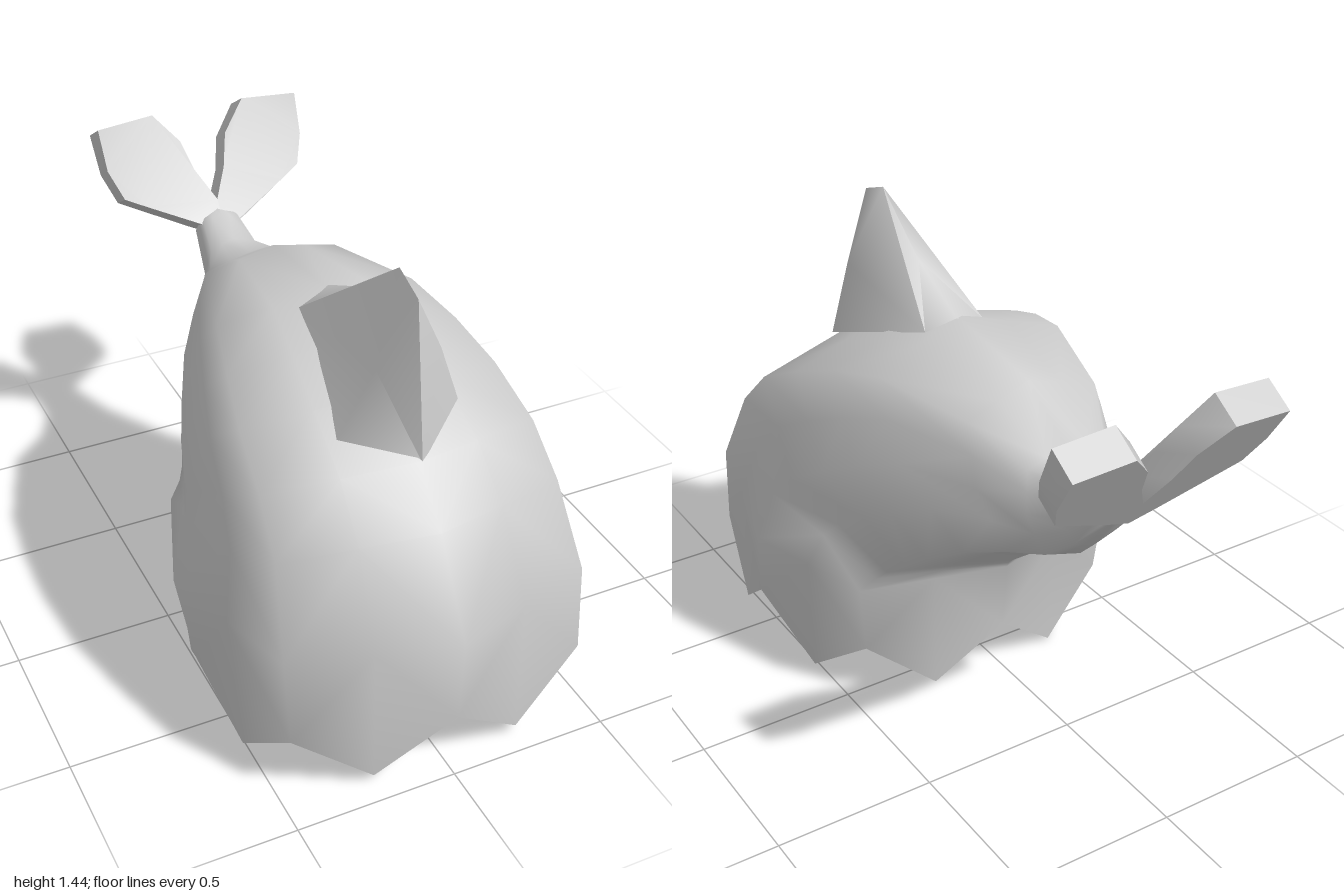
import * as THREE from 'three';
import { toCreasedNormals } from 'three/addons/utils/BufferGeometryUtils.js';

const material = new THREE.MeshStandardMaterial({ color: 0xcccccc, side: THREE.DoubleSide });

function meshFrom(name, positions, index, crease) {
  const g = new THREE.BufferGeometry();
  g.setAttribute('position', new THREE.Float32BufferAttribute(positions, 3));
  g.setIndex(index);
  g.computeVertexNormals();
  const mesh = new THREE.Mesh(toCreasedNormals(g, crease), material);
  mesh.name = name;
  return mesh;
}

// Hollow body: octagonal rings that tilt from the level hem to the upright tail stalk.
// Each ring: front z, front y, back z, back y, half width, front corner across, front corner forward
const rings = [
  [0.985, 0.22, -0.15, 0.19, 0.575, 0.82, 0.8],
  [1.0, 0.5, -0.17, 0.42, 0.605, 0.79, 0.73],
  [0.84, 0.78, -0.18, 0.44, 0.55, 0.81, 0.77],
  [0.7, 0.93, -0.2, 0.46, 0.52, 0.83, 0.76],
  [0.5, 1.04, -0.25, 0.5, 0.48, 0.85, 0.74],
  [0.32, 1.12, -0.3, 0.54, 0.43, 0.86, 0.71],
  [0.12, 1.17, -0.4, 0.61, 0.36, 0.89, 0.69],
  [-0.27, 1.12, -0.46, 0.64, 0.24, 0.92, 0.74],
  [-0.46, 1.0, -0.55, 0.68, 0.16, 0.85, 0.76],
  [-0.6, 0.98, -0.62, 0.75, 0.1, 0.78, 0.76],
  [-0.7, 1.02, -0.76, 0.91, 0.08, 0.75, 0.75],
  [-0.75, 1.03, -0.78, 0.95, 0.04, 0.75, 0.75],
];

function createBody() {
  const n = 16, hemDrop = 0.18;
  const positions = [], index = [];
  rings.forEach(([fz, fy, bz, by, w, c, f], row) => {
    const s = row === 1 ? -0.12 : 0;
    const corners = [
      [0, 1], [c, f], [1, s], [0.76, -0.8],
      [0, -1], [-0.76, -0.8], [-1, s], [-c, f],
    ];
    for (let j = 0; j < n; j++) {
      // Odd points lie halfway along an edge; on the hem they hang down as spikes
      const p = corners[j >> 1], q = corners[((j + 1) >> 1) % 8];
      const u = (p[0] + q[0]) / 2, v = (p[1] + q[1]) / 2;
      const drop = row === 0 && j % 2 ? hemDrop : 0;
      positions.push(
        0.01 + w * u,
        (fy + by) / 2 + (fy - by) / 2 * v - drop,
        (fz + bz) / 2 + (fz - bz) / 2 * v
      );
    }
  });
  for (let i = 0; i < rings.length - 1; i++) {
    for (let j = 0; j < n; j++) {
      const a = i * n + j, b = i * n + (j + 1) % n;
      // Mirror the diagonals so both sides match
      if (j % 2) index.push(a, b, a + n, b, b + n, a + n);
      else index.push(a, b, b + n, a, b + n, a + n);
    }
  }
  return meshFrom('body', positions, index, 2);
}

// Back fin: a pointed ridge; the right-hand flank ends in a free corner, the other sinks into the body
function createFin() {
  const positions = [
    0.02, 1.45, 0.53,  0.02, 1.41, 0.64,  0.02, 0.92, 0.7,
    0.02, 1.28, 0.32,  0.02, 1.17, 0.1,
    0.21, 0.99, 0.55,  0.12, 1.14, 0.12,  0.13, 1.2, 0.58,
    -0.17, 0.96, 0.55,  -0.09, 1.13, 0.12,  -0.07, 1.18, 0.58,
  ];
  const index = [];
  for (const [corner, rear, middle, flip] of [[5, 6, 7, false], [8, 9, 10, true]]) {
    const faces = [
      [1, 2, middle], [2, corner, middle], [1, middle, 0],
      [middle, corner, rear], [0, middle, rear], [0, rear, 3], [3, rear, 4],
    ];
    for (const [a, b, c] of faces) index.push(...(flip ? [a, c, b] : [a, b, c]));
  }
  return meshFrom('backFin', positions, index, 1.3);
}

// Tail fluke: a slab leaning back, widening from a narrow stem
function createFluke(side) {
  const outline = [
    [0, -0.03], [0.08, 0.01], [0.24, 0.1], [0.31, 0.14], [0.345, 0.24], [0.35, 0.375],
    [0.16, 0.39], [0.08, 0.29], [0.05, 0.18], [0, 0.08],
  ];
  const points = outline.map(([x, y]) => new THREE.Vector2(x * side, y));
  const g = new THREE.ExtrudeGeometry(new THREE.Shape(points), { depth: 0.11, bevelEnabled: false });
  // Hollow the front face a little
  const pos = g.attributes.position;
  for (let i = 0; i < pos.count; i++) {
    const t = THREE.MathUtils.clamp(pos.getY(i) / 0.38, 0, 1);
    const hollow = pos.getZ(i) > 0.05 ? 0.08 * t * (1 - t) : 0;
    pos.setZ(i, pos.getZ(i) - 0.11 - hollow);
  }
  g.computeVertexNormals();
  g.rotateX(-0.557);
  g.translate(0.02, 0.99, -0.7);
  const mesh = new THREE.Mesh(toCreasedNormals(g, 0.6), material);
  mesh.name = side > 0 ? 'leftFluke' : 'rightFluke';
  return mesh;
}

export function createModel() {
  const group = new THREE.Group();
  group.name = 'finnedHood';
  group.add(createBody(), createFin());
  for (const side of [1, -1]) group.add(createFluke(side));
  return group;
}
